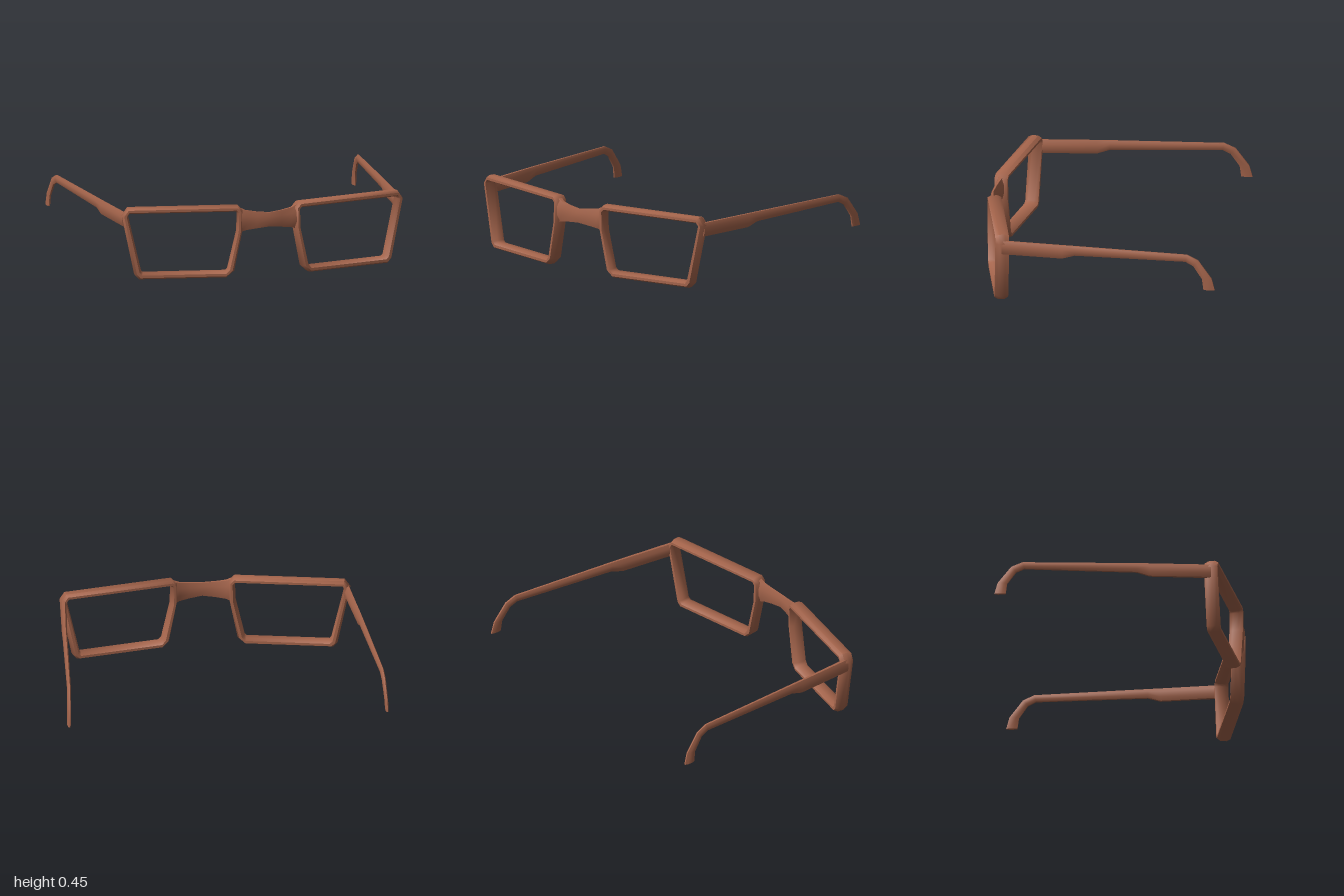
import * as THREE from 'three';
import { toCreasedNormals } from 'three/addons/utils/BufferGeometryUtils.js';

const frameBrown = new THREE.MeshStandardMaterial({ color: 0xa4644b });
frameBrown.name = 'frameBrown';

// Eight-sided section: first value runs 0..1 across, second -1..1 through the depth
const SECTION = [[0, -0.45], [0.3, -1], [0.7, -1], [1, -0.45], [1, 0.45], [0.7, 1], [0.3, 1], [0, 0.45]];

// Skins a row of equal rings; the row is closed into a loop or capped at both ends
function loft(name, rings, closed) {
  const n = rings[0].length, m = rings.length, index = [];
  for (let i = 0; i < (closed ? m : m - 1); i++) {
    for (let j = 0; j < n; j++) {
      const a = i * n + j, b = i * n + (j + 1) % n;
      const c = ((i + 1) % m) * n + j, d = ((i + 1) % m) * n + (j + 1) % n;
      index.push(a, b, d, a, d, c);
    }
  }
  if (!closed) {
    const e = (m - 1) * n;
    for (let j = 1; j < n - 1; j++) index.push(0, j + 1, j, e, e + j, e + j + 1);
  }
  // Turn the faces outward when the enclosed volume comes out negative
  const pts = rings.flat();
  let volume = 0;
  for (let k = 0; k < index.length; k += 3) {
    const [a, b, c] = [0, 1, 2].map((o) => new THREE.Vector3(...pts[index[k + o]]));
    volume += a.dot(b.cross(c));
  }
  if (volume < 0) index.reverse();
  const geo = new THREE.BufferGeometry();
  geo.setAttribute('position', new THREE.Float32BufferAttribute(pts.flat(), 3));
  geo.setIndex(index);
  const mesh = new THREE.Mesh(toCreasedNormals(geo, 0.95), frameBrown);
  mesh.name = name;
  return mesh;
}

// Lens rim: outer x, y and inner x, y at each corner, swept back toward the sides
function rim(side) {
  const corners = [
    [0.217, 0.045, 0.257, 0.056], [0.265, 0.002, 0.27, 0.042],
    [0.8, 0.002, 0.775, 0.042], [0.827, 0.032, 0.786, 0.054],
    [0.903, 0.405, 0.866, 0.405], [0.868, 0.455, 0.858, 0.418],
    [0.195, 0.455, 0.206, 0.418], [0.166, 0.425, 0.198, 0.408],
    [0.167, 0.3, 0.203, 0.29],
  ];
  const rings = corners.map(([ox, oy, ix, iy]) => SECTION.map(([t, d]) => {
    const x = ix + (ox - ix) * t, y = iy + (oy - iy) * t;
    const z = 0.707 - 0.19 * (x - 0.2);
    return [side * (x + d * 0.008), y, z + d * 0.042];
  }));
  return loft(side > 0 ? 'leftRim' : 'rightRim', rings, true);
}

// Temple: z and y of the lower and upper edges, centre x, half thickness
function temple(side) {
  const stations = [
    [0.58, 0.335, 0.58, 0.42, 0.883, 0.02],
    [0.2, 0.335, 0.2, 0.42, 0.917, 0.016],
    [0.12, 0.36, 0.12, 0.42, 0.923, 0.015],
    [-0.575, 0.37, -0.585, 0.415, 0.975, 0.012],
    [-0.625, 0.345, -0.655, 0.383, 0.98, 0.012],
    [-0.68, 0.265, -0.74, 0.27, 0.987, 0.011],
    [-0.69, 0.195, -0.76, 0.195, 0.99, 0.01],
  ];
  const rings = stations.map(([z0, y0, z1, y1, x, w]) => SECTION.map(([t, d]) =>
    [side * (x + d * w), y0 + (y1 - y0) * t, z0 + (z1 - z0) * t]));
  return loft(side > 0 ? 'leftTemple' : 'rightTemple', rings, false);
}

// Nose bridge: x, lower y, upper y, centre z, half thickness; mirrored about the middle
function bridge() {
  const half = [
    [0.185, 0.285, 0.44, 0.71, 0.033],
    [0.145, 0.297, 0.422, 0.722, 0.019],
    [0.08, 0.306, 0.412, 0.733, 0.013],
    [0, 0.315, 0.404, 0.743, 0.012],
  ];
  const stations = [...half, ...half.slice(0, 3).reverse().map(([x, ...r]) => [-x, ...r])];
  const rings = stations.map(([x, y0, y1, z, w]) => SECTION.map(([t, d]) =>
    [x, y0 + (y1 - y0) * t, z + d * w]));
  return loft('bridge', rings, false);
}

export function createModel() {
  const model = new THREE.Group();
  model.name = 'glassesFrame';
  for (const side of [1, -1]) model.add(rim(side), temple(side));
  model.add(bridge());
  return model;
}
